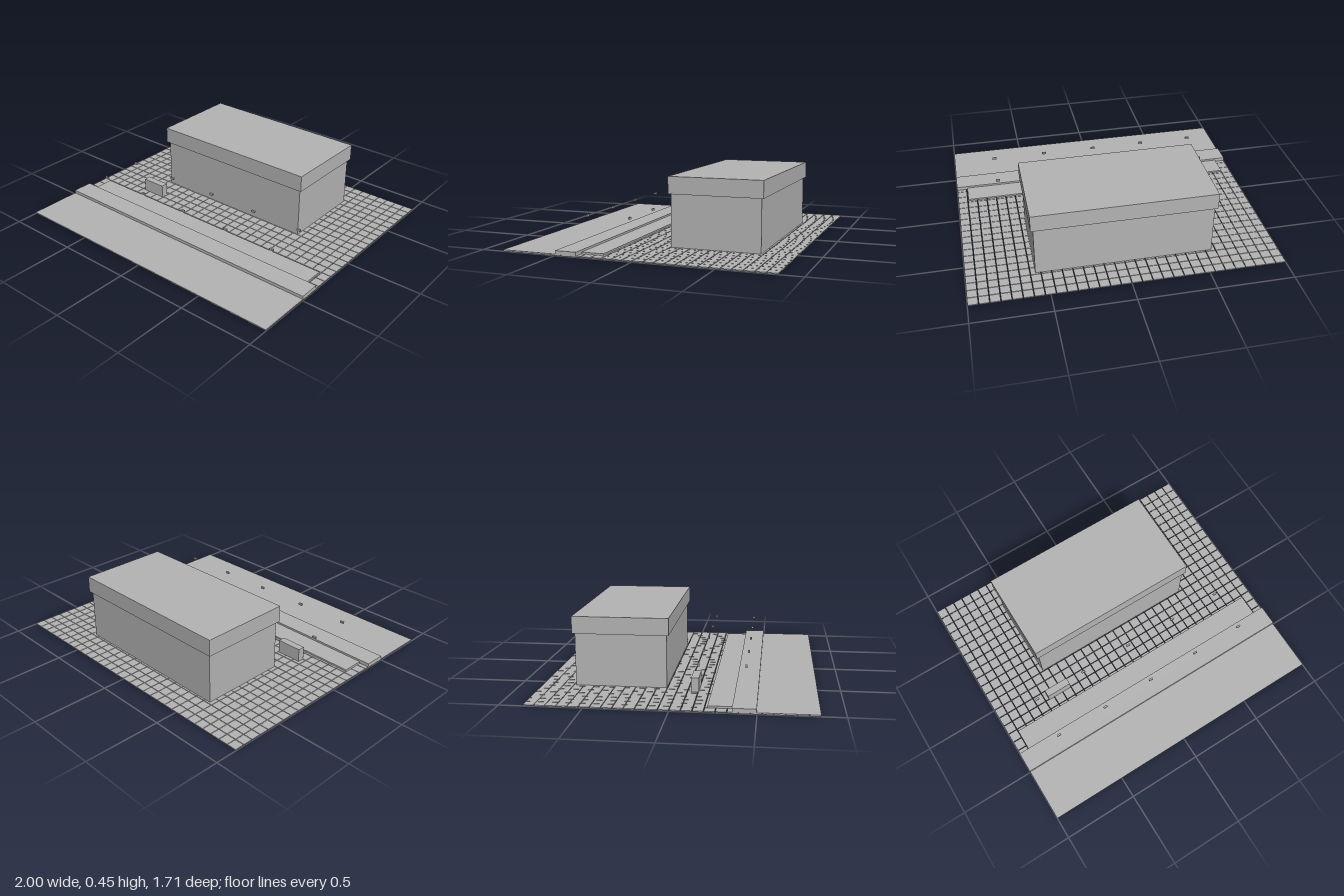
import * as THREE from 'three';
import { mergeGeometries } from 'three/addons/utils/BufferGeometryUtils.js';

const concrete = new THREE.MeshStandardMaterial({ color: 0xb4b4b4 });
concrete.name = 'concrete grey';

// Box geometry from its limits on each axis
function boxBetween(x0, x1, y0, y1, z0, z1) {
  return new THREE.BoxGeometry(x1 - x0, y1 - y0, z1 - z0)
    .translate((x0 + x1) / 2, (y0 + y1) / 2, (z0 + z1) / 2);
}

export function createModel() {
  const group = new THREE.Group();
  group.name = 'shopAndStreet';

  const add = (name, geometry) => {
    const mesh = new THREE.Mesh(geometry, concrete);
    mesh.name = name;
    group.add(mesh);
  };

  const ground = 0.007;
  const depth = 0.857;

  // Paving: a grid of thin tiles with narrow open joints
  const columns = 30, rows = 26, joint = 0.004;
  const px = 2 / columns, pz = (2 * depth) / rows;
  const tiles = [];
  for (let i = 0; i < columns; i++) {
    for (let j = 0; j < rows; j++) {
      const x = -1 + i * px, z = -depth + j * pz;
      tiles.push(boxBetween(x + joint / 2, x + px - joint / 2, 0, ground,
        z + joint / 2, z + pz - joint / 2));
    }
  }
  add('pavingTiles', mergeGeometries(tiles));

  // Street: road surface, raised sidewalk and low step behind it
  add('road', boxBetween(-1, 1, ground, 0.01, 0.498, depth));
  add('sidewalk', boxBetween(-1, 1, ground, 0.031, 0.359, 0.498));
  add('lowStep', boxBetween(-0.932, 0.928, ground, 0.018, 0.215, 0.359));

  // Building with a slightly overhanging roof block
  add('buildingWalls', boxBetween(-0.573, 0.568, ground, 0.341, -0.645, -0.07));
  add('roofBlock', boxBetween(-0.59, 0.584, 0.341, 0.45, -0.66, -0.056));

  // Low counter in front of the building
  add('counter', boxBetween(-0.641, -0.47, ground, 0.096, 0.088, 0.136));

  // Two rows of small hanging lamps
  for (const z of [0.141, 0.427]) {
    for (let i = -2; i <= 2; i++) {
      const x = i * 0.358 - 0.002;
      add('lamp', boxBetween(x - 0.0135, x + 0.0135, 0.194, 0.207, z - 0.006, z + 0.006));
    }
  }

  return group;
}
